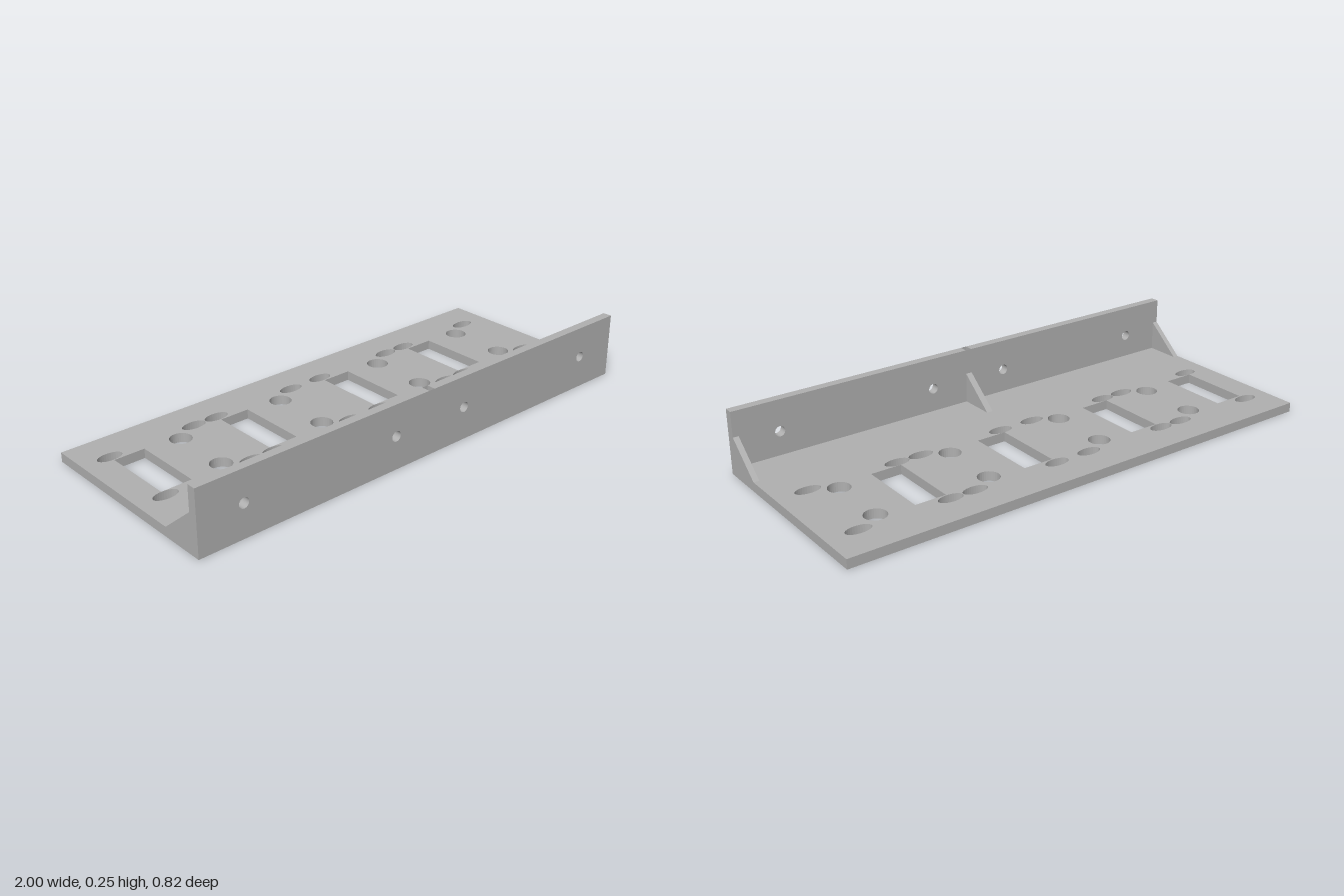
import * as THREE from 'three';

const BACK = -0.41, FRONT = 0.41, WALL_Z = 0.375, RIB_Z = 0.235;
const T = 0.037, RIB_Y = 0.155, H = 0.253, SLOT = 0.013, RIB_W = 0.022;

const polygon = (pts, Type = THREE.Shape) => new Type(pts.map(([x, y]) => new THREE.Vector2(x, y)));

const ellipseHole = (x, y, rx, ry = rx) => {
  const path = new THREE.Path();
  path.absellipse(x, y, rx, ry, 0, Math.PI * 2, true);
  return path;
};

const extrude = (shape, depth) =>
  new THREE.ExtrudeGeometry(shape, { depth, bevelEnabled: false, curveSegments: 16 });

// Strips spanning the centre slot, one for each [y, z] profile
function slotStrips(profiles) {
  const pos = [], index = [];
  for (const profile of profiles) {
    profile.forEach(([y, z], i) => {
      const a = pos.length / 3;
      pos.push(-SLOT, y, z, SLOT, y, z);
      if (i > 0) index.push(a - 2, a - 1, a + 1, a - 2, a + 1, a);
    });
  }
  const geo = new THREE.BufferGeometry();
  geo.setAttribute('position', new THREE.Float32BufferAttribute(pos, 3));
  geo.setIndex(index);
  const flat = geo.toNonIndexed();
  flat.computeVertexNormals();
  return flat;
}

export function createModel() {
  const group = new THREE.Group();
  const grey = new THREE.MeshStandardMaterial({ color: 0xb0b0b0 });
  grey.name = 'grey';
  const greyOpen = grey;
  greyOpen.side = THREE.DoubleSide;

  const add = (name, geo) => {
    const mesh = new THREE.Mesh(geo, grey);
    mesh.name = name;
    group.add(mesh);
    return mesh;
  };

  // Base plate, drawn in x and -z, notched under the middle rib
  const base = polygon([
    [-1, -WALL_Z], [-SLOT, -WALL_Z], [-SLOT, -RIB_Z], [SLOT, -RIB_Z],
    [SLOT, -WALL_Z], [1, -WALL_Z], [1, -BACK], [-1, -BACK],
  ]);
  // Four repeats of window, round holes and oval slots
  for (const x of [-0.89, -0.435, 0.067, 0.522]) {
    base.holes.push(polygon([
      [x, -0.047], [x, 0.24], [x + 0.122, 0.24], [x + 0.122, -0.047],
    ], THREE.Path));
    for (const z of [-0.217, 0.024]) base.holes.push(ellipseHole(x + 0.261, -z, 0.042));
    for (const z of [-0.27, 0.073]) {
      base.holes.push(ellipseHole(x, -z, 0.049, 0.026));
      base.holes.push(ellipseHole(x + 0.355, -z, 0.049, 0.026));
    }
  }
  add('basePlate', extrude(base, T).rotateX(-Math.PI / 2));

  // Upright wall in two halves, with screw holes
  for (const [name, s] of [['leftWall', 1], ['rightWall', -1]]) {
    const x0 = Math.min(s * SLOT, s), x1 = Math.max(s * SLOT, s);
    const wall = polygon([[x0, 0], [x1, 0], [x1, H], [x0, H]]);
    for (const x of [0.167, 0.82]) wall.holes.push(ellipseHole(s * x, 0.13, 0.02));
    add(name, extrude(wall, FRONT - WALL_Z).translate(0, 0, WALL_Z));
  }

  // Triangular end ribs
  const rib = polygon([[RIB_Z, T], [WALL_Z, T], [WALL_Z, RIB_Y]]);
  for (const [name, x] of [['leftRib', 1], ['rightRib', -1 + RIB_W]]) {
    add(name, extrude(rib, RIB_W).rotateY(-Math.PI / 2).translate(x, 0, 0));
  }

  // Hollow middle rib: two sides, sloped edge, wall back and wall front
  for (const x of [-SLOT, SLOT]) {
    const side = new THREE.ShapeGeometry(rib).rotateY(x > 0 ? -Math.PI / 2 : -Math.PI / 2);
    add('middleRibSide', side.translate(x, 0, 0));
  }
  add('middleRibCover', slotStrips([
    [[H, WALL_Z], [RIB_Y, WALL_Z], [T, RIB_Z]],
    [[0, FRONT], [H, FRONT]],
  ]));

  return group;
}
